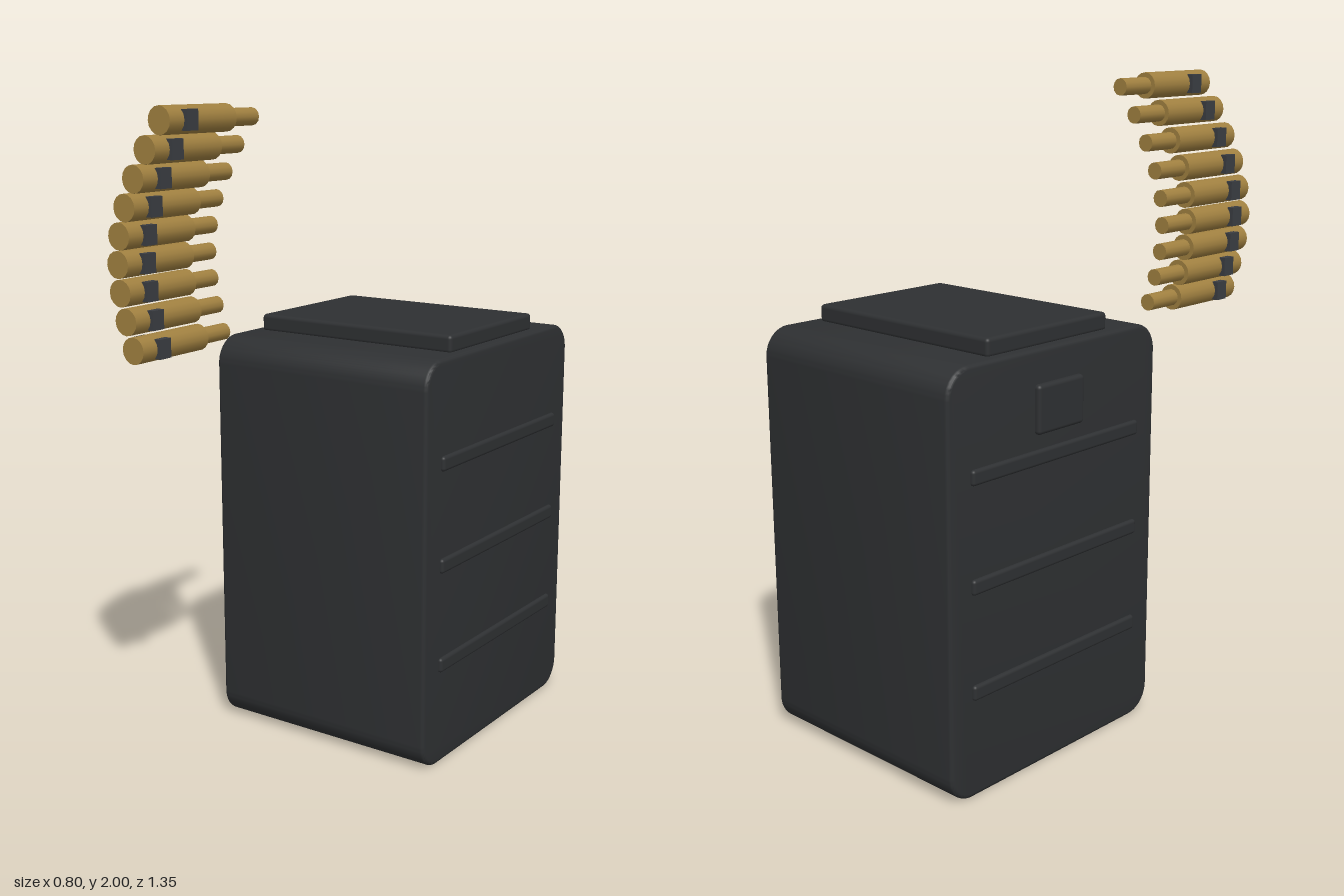
import * as THREE from 'three';
import { toCreasedNormals } from 'three/addons/utils/BufferGeometryUtils.js';
import { RoundedBoxGeometry } from 'three/addons/geometries/RoundedBoxGeometry.js';

const shell = new THREE.MeshStandardMaterial({ color: 0x2e3032 });
const brass = new THREE.MeshStandardMaterial({ color: 0xa08040 });
const steel = new THREE.MeshStandardMaterial({ color: 0x3a3d42 });

function add(parent, name, geometry, material, x = 0, y = 0, z = 0) {
  const mesh = new THREE.Mesh(geometry, material);
  mesh.name = name;
  mesh.position.set(x, y, z);
  parent.add(mesh);
  return mesh;
}

// Side outline with rounded corners, extruded across the width with a fine bevel
function bodyGeometry(width, height, depth, radius, bevel) {
  const w = depth / 2 - bevel, h = height / 2 - bevel, r = radius - bevel;
  const s = new THREE.Shape();
  s.absarc(w - r, h - r, r, 0, Math.PI / 2);
  s.absarc(-w + r, h - r, r, Math.PI / 2, Math.PI);
  s.absarc(-w + r, -h + r, r, Math.PI, Math.PI * 1.5);
  s.absarc(w - r, -h + r, r, Math.PI * 1.5, Math.PI * 2);
  const g = new THREE.ExtrudeGeometry(s, {
    depth: width - 2 * bevel, curveSegments: 8,
    bevelEnabled: true, bevelThickness: bevel, bevelSize: bevel, bevelSegments: 3,
  });
  g.translate(0, 0, -width / 2 + bevel);
  g.rotateY(Math.PI / 2);
  return toCreasedNormals(g, 0.7);
}

export function createModel() {
  const model = new THREE.Group();
  model.name = 'ammunitionBox';
  const midZ = -0.235;

  // Container and lid
  add(model, 'body', bodyGeometry(0.776, 1.276, 0.88, 0.085, 0.012), shell, 0, 0.638, midZ);
  add(model, 'lid', new RoundedBoxGeometry(0.708, 0.056, 0.505, 3, 0.012), shell, 0, 1.299, midZ);

  // Pressed ribs on both sides
  for (const side of [-1, 1]) {
    for (const y of [0.325, 0.643, 0.961]) {
      add(model, 'rib', new RoundedBoxGeometry(0.03, 0.046, 0.71, 3, 0.01), shell, side * 0.384, y, midZ);
    }
  }

  // Latch plate on the right side
  add(model, 'latch', new RoundedBoxGeometry(0.04, 0.146, 0.195, 3, 0.012), shell, -0.385, 1.102, midZ);

  // Curved belt of rounds, each with its link
  const belt = new THREE.Group();
  belt.name = 'belt';
  model.add(belt);
  const caseGeometry = new THREE.CylinderGeometry(0.04, 0.04, 0.285, 16).rotateX(Math.PI / 2);
  const tipGeometry = new THREE.CylinderGeometry(0.026, 0.026, 0.125, 12).rotateX(Math.PI / 2);
  const linkGeometry = new THREE.BoxGeometry(0.099, 0.058, 0.047);
  const beltX = [-0.306, -0.330, -0.348, -0.354, -0.346, -0.322, -0.285, -0.238, -0.182];
  beltX.forEach((x, i) => {
    const round = new THREE.Group();
    round.name = 'round';
    round.position.set(x, 1.312 + i * 0.081, 0);
    add(round, 'casing', caseGeometry, brass, 0, 0, 0.5325);
    add(round, 'tip', tipGeometry, brass, 0, 0, 0.3325);
    add(round, 'link', linkGeometry, steel, 0, 0, 0.592);
    belt.add(round);
  });

  return model;
}
